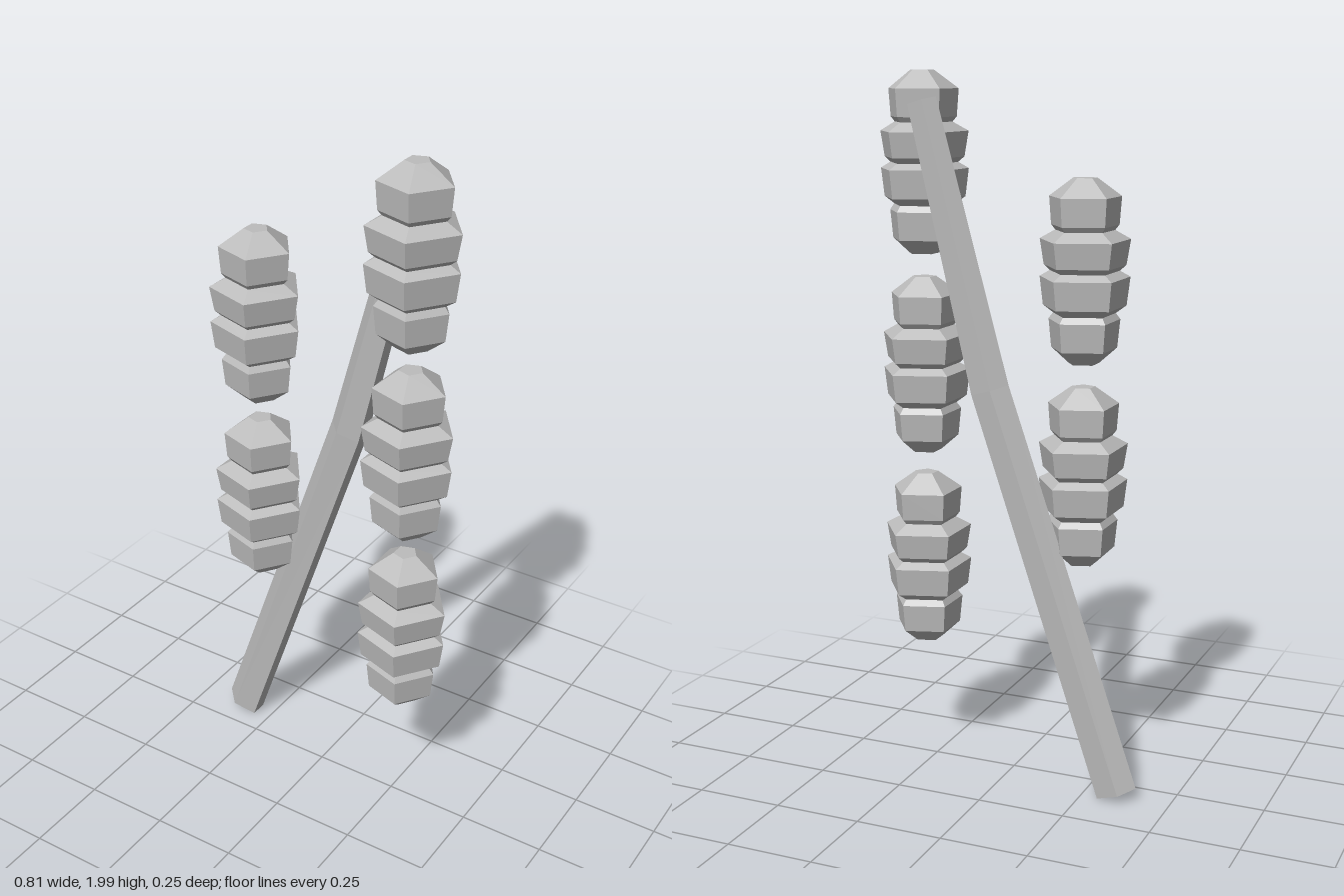
import * as THREE from 'three';

const grey = new THREE.MeshStandardMaterial({ color: 0xbcbcbc, flatShading: true });
grey.name = 'grey';

// Five-sided segmented bud, profile from bottom to top (radius, height)
function budGeometry() {
  const profile = [
    [0, 0], [0.045, 0], [0.095, 0.04], [0.103, 0.118],
    [0.09, 0.135], [0.118, 0.155], [0.13, 0.233],
    [0.1, 0.25], [0.118, 0.265], [0.13, 0.335],
    [0.085, 0.36], [0.097, 0.374], [0.103, 0.45], [0.034, 0.5], [0, 0.5],
  ];
  // Segments are widest at their upper rim
  profile[5] = [0.12, 0.155];
  const points = profile.map(([r, y]) => new THREE.Vector2(r, y));
  return new THREE.LatheGeometry(points, 5, Math.PI / 2);
}

// Bent, tapering five-sided stem: move the rings of a cylinder onto a path
function stemGeometry() {
  const geometry = new THREE.CylinderGeometry(1, 1, 1, 5, 2, false, -Math.PI / 2);
  // centre x, centre y, radius across, radius in depth, lean of the ring
  const rings = [
    [-0.347, 0.024, 0.062, 0.043, -0.35],
    [0.035, 1.143, 0.058, 0.043, -0.3],
    [0.233, 1.919, 0.044, 0.033, -0.26],
  ];
  const p = geometry.attributes.position;
  for (let i = 0; i < p.count; i++) {
    const [cx, cy, across, depth, lean] = rings[Math.round((p.getY(i) + 0.5) * 2)];
    const u = p.getX(i) * across;
    p.setXYZ(i, cx + u * Math.cos(lean), cy + u * Math.sin(lean), -0.0865 + p.getZ(i) * depth);
  }
  geometry.computeVertexNormals();
  return geometry;
}

export function createModel() {
  const model = new THREE.Group();
  model.name = 'budBranch';

  const stem = new THREE.Mesh(stemGeometry(), grey);
  stem.name = 'stem';
  model.add(stem);

  // Two upright rows of buds
  const bud = budGeometry();
  const rows = [
    { name: 'leftBud', x: 0.275, heights: [0.37, 0.935, 1.5] },
    { name: 'rightBud', x: -0.205, heights: [0.655, 1.22] },
  ];
  for (const { name, x, heights } of rows) {
    heights.forEach((y, i) => {
      const mesh = new THREE.Mesh(bud, grey);
      mesh.name = name + (i + 1);
      mesh.position.set(x, y, 0);
      model.add(mesh);
    });
  }
  return model;
}
